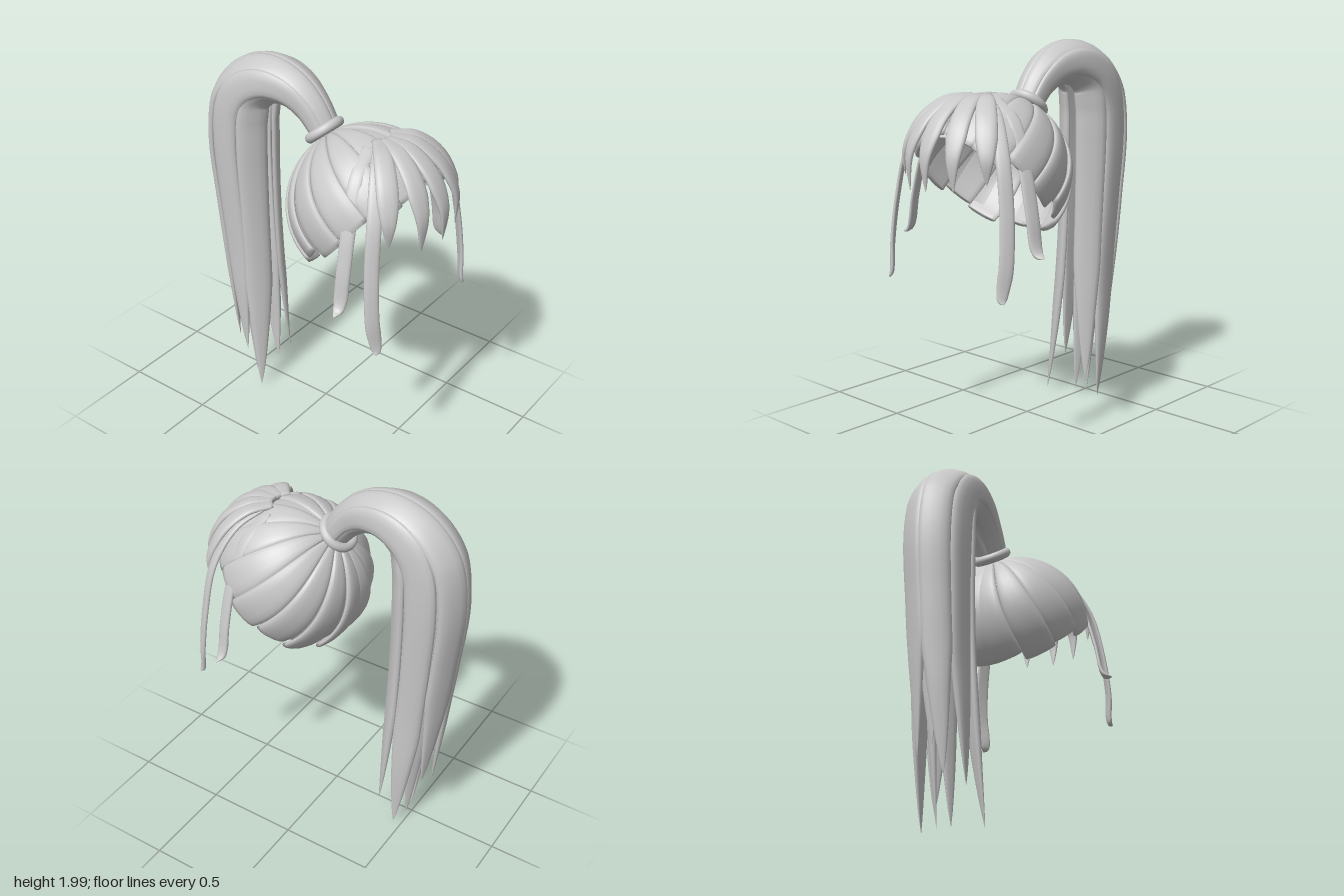
import * as THREE from 'three';

const V = (x, y, z) => new THREE.Vector3(x, y, z);
const hair = new THREE.MeshStandardMaterial({ color: 0xc8c8c8, side: THREE.DoubleSide });
const HEAD = V(0, 1.37, 0.26);
const X = V(1, 0, 0);

function mesh(name, geometry, parent) {
  const m = new THREE.Mesh(geometry, hair);
  m.name = name;
  parent.add(m);
  return m;
}

// Flat lock of hair swept along a path: rounded cross-section, bent across its width
function lock({ path, normal, width, thick, bend = 1.2, tilt = 0, steps = 32, taper = 0.25, power = 0.7 }) {
  const pos = [], idx = [], M = 14;
  for (let i = -1; i <= steps + 1; i++) {
    const t = Math.min(1, Math.max(0, i / steps));
    const p = path(t);
    const T = path(Math.min(1, t + 0.01)).sub(path(Math.max(0, t - 0.01))).normalize();
    const N0 = normal(t, p).clone();
    N0.addScaledVector(T, -N0.dot(T)).normalize();
    const S0 = N0.clone().cross(T);
    const N = N0.addScaledVector(S0, tilt).normalize();
    const S = N.clone().cross(T);
    const closed = i < 0 || i > steps ? 0 : 1;
    const f = taper ? Math.pow(Math.min(1, (1 - t) / taper + 0.004), power) : 1;
    const w = width(t) * f * closed, h = thick * Math.min(1, f * 1.3) * closed;
    for (let j = 0; j < M; j++) {
      const a = (j / M) * Math.PI * 2, c = Math.cos(a), s = Math.sin(a);
      const u = w * Math.sign(c) * Math.pow(Math.abs(c), 0.75);
      const v = h * Math.sign(s) * Math.pow(Math.abs(s), 0.65) - bend * u * u;
      const q = p.clone().addScaledVector(S, u).addScaledVector(N, v);
      pos.push(q.x, q.y, q.z);
    }
  }
  for (let i = 0; i < steps + 2; i++) for (let j = 0; j < M; j++) {
    const a = i * M + j, b = i * M + (j + 1) % M;
    idx.push(a, b, a + M, b, b + M, a + M);
  }
  const g = new THREE.BufferGeometry();
  g.setAttribute('position', new THREE.Float32BufferAttribute(pos, 3));
  g.setIndex(idx);
  g.computeVertexNormals();
  return g;
}

const curvePath = pts => {
  const c = new THREE.CatmullRomCurve3(pts);
  return t => c.getPoint(t);
};
const fromHead = (t, p) => p.clone().sub(HEAD);

// Scalp cap with combed bands radiating from the tie
function buildCap(root) {
  const cap = new THREE.Group();
  cap.name = 'cap';
  cap.position.copy(HEAD);
  cap.rotation.x = -0.7;
  root.add(cap);
  mesh('scalp', new THREE.SphereGeometry(0.385, 48, 24, 0, Math.PI * 2, 0, 1.72), cap);

  const COUNT = 14;
  for (let k = 0; k < COUNT; k++) {
    const az = ((k + 0.5) / COUNT) * Math.PI * 2;
    const side = Math.sin(az) >= 0 ? 1 : -1;
    const back = (1 - Math.cos(az)) / 2;
    const row = Math.min(k, COUNT - 1 - k);
    const end = 1.72 + 0.05 * back + (row % 2 ? 0.08 : 0);
    const polar = t => 0.16 + (end - 0.16) * t;
    const path = t => {
      const a = polar(t), b = az + side * 0.1 * Math.sin(a * 1.7);
      const r = 0.383 + 0.018 * back * t;
      return V(Math.sin(b) * Math.sin(a), Math.cos(a), Math.cos(b) * Math.sin(a)).multiplyScalar(r);
    };
    mesh('capBand', lock({
      path, normal: (t, p) => p, thick: 0.016, taper: 0, steps: 24,
      tilt: side * (0.05 + 0.09 * back),
      width: t => 0.39 * Math.sin(polar(t)) * (Math.PI / COUNT) * 1.04,
    }), cap);
  }

  // Hair tie around the base of the tail
  const tie = mesh('hairTie', new THREE.TorusGeometry(0.083, 0.026, 14, 40), cap);
  tie.rotation.x = Math.PI / 2;
  tie.position.y = 0.42;
}

// Fringe fanned from the crown: [angle in degrees, tip height]
function buildFringe(root) {
  const fringe = new THREE.Group();
  fringe.name = 'fringe';
  root.add(fringe);
  const fan = [[-46, 1.36], [-22, 1.31], [-1, 1.32], [22, 1.33], [45, 1.37]];
  const arc = [[0.07, 1.757], [0.2, 1.742], [0.33, 1.645], [0.405, 1.49]];
  for (const [deg, tip] of fan) {
    const a = THREE.MathUtils.degToRad(deg);
    const pts = [...arc, [0.405, tip]].map(([r, y]) => V(Math.sin(a) * r, y, 0.3 + Math.cos(a) * r));
    mesh('fringeLock', lock({
      path: curvePath(pts), normal: fromHead, thick: 0.014, taper: 0.4, bend: 2,
      width: t => 0.034 + 0.02 * Math.sin(Math.PI * Math.min(1, t * 0.9)),
    }), fringe);
  }

  // Long locks framing the face, mirrored
  const longLocks = [
    [[0.08, 1.75, 0.38], [0.22, 1.68, 0.46], [0.33, 1.5, 0.525], [0.385, 1.25, 0.555], [0.405, 1.0, 0.58], [0.395, 0.84, 0.6], [0.41, 0.82, 0.605]],
    [[0.11, 1.74, 0.34], [0.26, 1.645, 0.37], [0.36, 1.43, 0.4], [0.415, 1.22, 0.412], [0.455, 1.04, 0.416], [0.5, 1.02, 0.42]],
  ];
  for (const s of [1, -1]) for (const pts of longLocks) {
    mesh('longLock', lock({
      path: curvePath(pts.map(([x, y, z]) => V(s * x, y, z))),
      normal: (t, p) => V(p.x, 0.25, p.z - 0.26), thick: 0.011, taper: 0.28, bend: 2,
      width: t => 0.036,
    }), fringe);
  }
}

// Ponytail: ribbons arranged around an elliptical section that follows a spine
function buildTail(root) {
  const tail = new THREE.Group();
  tail.name = 'ponytail';
  root.add(tail);
  const spine = curvePath([
    [1.69, 0.0], [1.805, -0.09], [1.875, -0.2], [1.885, -0.335], [1.82, -0.455], [1.7, -0.52],
    [1.5, -0.54], [1.15, -0.525], [0.8, -0.5], [0.4, -0.47], [0.02, -0.44],
  ].map(([y, z]) => V(0, y, z)));
  // half width and half depth along the spine
  const size = curvePath([
    [0.08, 0.07], [0.095, 0.085], [0.12, 0.1], [0.145, 0.12], [0.16, 0.15], [0.165, 0.185],
    [0.165, 0.195], [0.155, 0.18], [0.15, 0.165], [0.16, 0.15], [0.17, 0.14],
  ].map(([w, d]) => V(w, d, 0)));
  const outward = t => {
    const T = spine(Math.min(1, t + 0.005)).sub(spine(Math.max(0, t - 0.005))).normalize();
    return X.clone().cross(T);
  };
  // [angle around section, end along spine, section scale, ribbon width, sideways drift]
  const ribbons = [
    [62, 0.91, 1, 0.5, 0], [118, 0.94, 1, 0.5, 0],
    [5, 1.0, 1, 0.5, -0.03], [175, 0.95, 1, 0.5, 0.02],
    [-50, 0.97, 1, 0.5, 0.02], [230, 1.0, 1, 0.5, -0.06],
    [90, 0.9, 0.72, 0.5, 0], [40, 1.0, 0.45, 0.38, -0.03], [150, 1.0, 0.45, 0.38, 0.01],
  ];
  for (const [deg, end, scale, k, drift] of ribbons) {
    const a = THREE.MathUtils.degToRad(deg), c = Math.cos(a), s = Math.sin(a);
    const path = u => {
      const t = u * end, q = size(t), inset = 0.016;
      return spine(t).addScaledVector(X, (q.x - inset) * c * scale + drift * Math.pow(u, 6))
        .addScaledVector(outward(t), (q.y - inset) * s * scale);
    };
    const normal = u => X.clone().multiplyScalar(c).addScaledVector(outward(u * end), s);
    mesh('tailRibbon', lock({
      path, normal, thick: 0.02, bend: 1.8, steps: 56, taper: 0.17, power: 0.8,
      width: u => k * size(u * end).x,
    }), tail);
  }
}

export function createModel() {
  const root = new THREE.Group();
  root.name = 'ponytailHair';
  buildCap(root);
  buildFringe(root);
  buildTail(root);
  return root;
}
